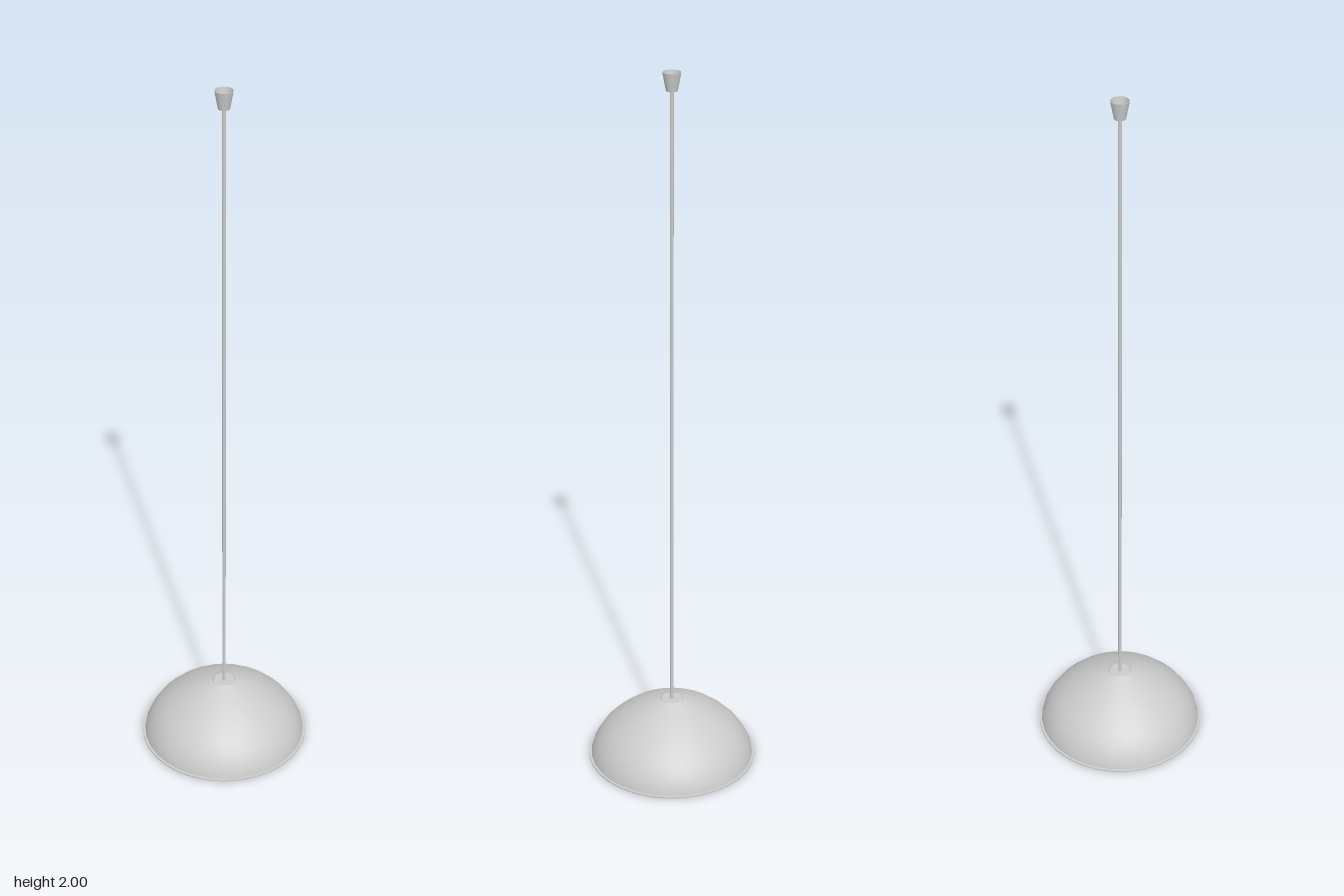
import * as THREE from 'three';

const SEGMENTS = 32;

// Surface of revolution; profile points run so that the outside faces outward
function lathe(name, profile, smooth = false) {
  const points = profile.map(([r, y]) => new THREE.Vector2(r, y));
  const mesh = new THREE.Group();
  mesh.name = name;
  const material = new THREE.MeshStandardMaterial({ color: 0xcccccc, side: THREE.DoubleSide });
  // Hard-edged profiles get one band per segment, smooth ones a single surface
  const bands = smooth ? [points] : points.slice(1).map((p, i) => [points[i], p]);
  for (const band of bands) {
    const part = new THREE.Mesh(new THREE.LatheGeometry(band, SEGMENTS), material);
    part.name = name + 'Surface';
    mesh.add(part);
  }
  return mesh;
}

export function createModel() {
  const lamp = new THREE.Group();
  lamp.name = 'pendantLamp';

  // Domed shade, open at the bottom, with a small opening on top
  const dome = [
    [0.233, 0.004], [0.229, 0.022], [0.218, 0.045], [0.202, 0.07], [0.178, 0.095],
    [0.145, 0.122], [0.105, 0.147], [0.068, 0.166], [0.035, 0.18],
  ];
  lamp.add(lathe('shade', dome, true));
  const inner = dome.map(([r, y]) => [r - 0.003, y - 0.004]).reverse();
  lamp.add(lathe('shadeLining', inner, true));

  // Flat lip around the lower edge of the shade
  lamp.add(lathe('shadeRim', [[0.23, 0], [0.24, 0], [0.24, 0.004], [0.233, 0.004]]));

  // Bulb holder hanging in the shade opening
  lamp.add(lathe('socket', [
    [0, 0.1], [0.033, 0.1], [0.035, 0.174], [0.03, 0.179], [0, 0.179],
  ]));

  // Bulb: narrow neck swelling into a round globe
  const bulb = [[0.018, 0.102], [0.018, 0.085], [0.024, 0.071]];
  for (let i = 0; i <= 10; i++) {
    const a = THREE.MathUtils.lerp(0.6, -Math.PI / 2, i / 10);
    bulb.push([Math.max(0, 0.035 * Math.cos(a)), 0.043 + 0.035 * Math.sin(a)]);
  }
  lamp.add(lathe('bulb', bulb.reverse(), true));

  // Suspension cord
  const cord = new THREE.Mesh(
    new THREE.CylinderGeometry(0.005, 0.005, 1.784, 16),
    new THREE.MeshStandardMaterial({ color: 0xcccccc }),
  );
  cord.name = 'cord';
  cord.position.y = 0.176 + 1.784 / 2;
  lamp.add(cord);

  // Ceiling cup, open at the top with a floor inside
  lamp.add(lathe('ceilingCup', [
    [0, 1.952], [0.015, 1.952], [0.024, 2], [0.0225, 2], [0.015, 1.958], [0, 1.958],
  ]));

  return lamp;
}
